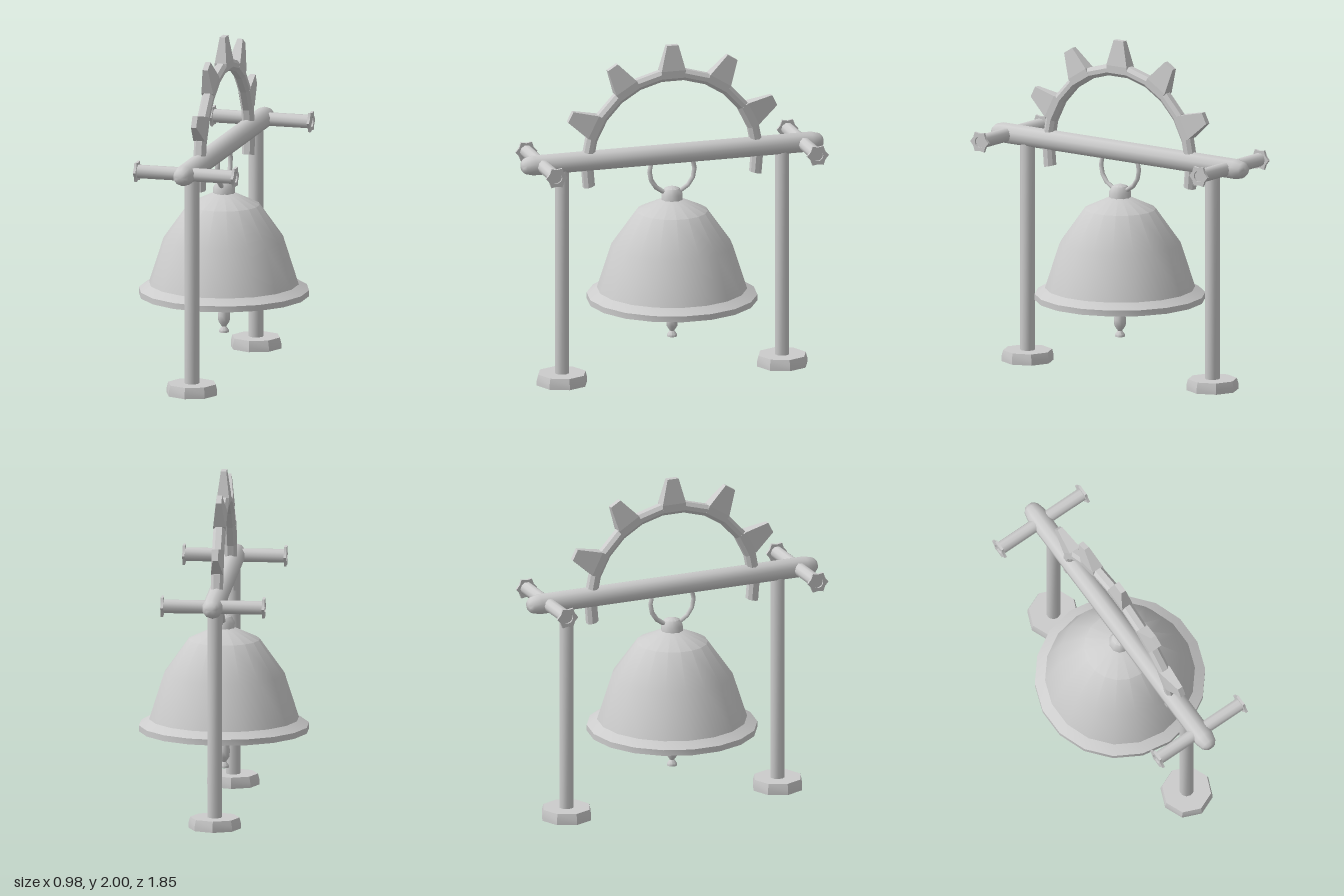
import * as THREE from 'three';
import { toCreasedNormals } from 'three/addons/utils/BufferGeometryUtils.js';

const grey = new THREE.MeshStandardMaterial({ color: 0xcccccc, side: THREE.DoubleSide });

// Adds a named mesh with smooth faces and sharp creases
function add(parent, name, geometry, crease = 0.8) {
  const mesh = new THREE.Mesh(toCreasedNormals(geometry, crease), grey);
  mesh.name = name;
  parent.add(mesh);
  return mesh;
}

// Turned part from [radius, height] pairs, listed bottom to top on the outside
const lathe = (profile, sides) =>
  new THREE.LatheGeometry(profile.map(([r, y]) => new THREE.Vector2(r, y)), sides);

// Skin over a row of equal-length cross-sections, capped at both ends
function loft(sections) {
  const n = sections[0].length;
  const last = sections.length - 1;
  const index = [];
  for (let i = 0; i < last; i++) {
    for (let j = 0; j < n; j++) {
      const k = (j + 1) % n;
      const a = i * n + j, b = i * n + k, c = b + n, d = a + n;
      index.push(a, b, c, a, c, d);
    }
  }
  for (let j = 1; j < n - 1; j++) {
    index.push(0, j + 1, j, last * n, last * n + j, last * n + j + 1);
  }
  const geometry = new THREE.BufferGeometry().setFromPoints(sections.flat());
  geometry.setIndex(index);
  return geometry;
}

// Scalloped collar with a round hole, extruded along +z
function collarGeometry() {
  const points = [];
  for (let i = 0; i < 12; i++) {
    const r = i % 2 ? 0.051 : 0.066;
    const a = (i * Math.PI) / 6;
    points.push(new THREE.Vector2(r * Math.cos(a), r * Math.sin(a)));
  }
  const shape = new THREE.Shape(points);
  shape.holes.push(new THREE.Path().absarc(0, 0, 0.032, 0, Math.PI * 2, true));
  return new THREE.ExtrudeGeometry(shape, { depth: 0.015, bevelEnabled: false, curveSegments: 6 });
}

function createFrame() {
  const frame = new THREE.Group();
  frame.name = 'frame';

  // Main beam with rounded tips
  const tip = [[0, 0.923], [0.03, 0.92], [0.048, 0.9], [0.061, 0.85]];
  const beamProfile = [...tip.map(([r, y]) => [r, -y]), ...tip.slice().reverse()];
  const beam = add(frame, 'beam', lathe(beamProfile, 10));
  beam.rotation.x = Math.PI / 2;
  beam.position.y = 1.34;

  for (const s of [1, -1]) {
    // Post
    const post = add(frame, 'post', new THREE.CylinderGeometry(0.043, 0.043, 1.3, 10));
    post.position.set(0, 0.68, s * 0.675);

    // Foot, hollow underneath
    const foot = add(frame, 'foot', lathe([
      [0, 0.04], [0.11, 0.04], [0.13, 0], [0.154, 0], [0.154, 0.03], [0.145, 0.065], [0, 0.065],
    ], 8), 0.4);
    foot.position.z = s * 0.675;

    // Cross arm with a collar on each end
    const arm = add(frame, 'crossArm', new THREE.CylinderGeometry(0.04, 0.04, 0.59, 10));
    arm.rotation.z = Math.PI / 2;
    arm.position.set(0, 1.34, s * 0.8);
    for (const side of [1, -1]) {
      const collar = add(frame, 'armCollar', collarGeometry(), 0.5);
      collar.rotation.y = (side * Math.PI) / 2;
      collar.position.set(side * 0.29, 1.34, s * 0.8);
    }
  }
  return frame;
}

function createArch() {
  const arch = new THREE.Group();
  arch.name = 'toothedArch';
  arch.position.y = 1.3;
  const step = THREE.MathUtils.degToRad(15.8);
  const polar = (x, r, t) => new THREE.Vector3(x, r * Math.cos(t), r * Math.sin(t));

  // Chamfered band; straight facets alternate between tooth and gap
  const outline = [
    [0.018, 0.49], [0.035, 0.51], [0.035, 0.535], [0.018, 0.556],
    [-0.018, 0.556], [-0.035, 0.535], [-0.035, 0.51], [-0.018, 0.49],
  ];
  const sections = [];
  for (let i = -6.5; i <= 6.5; i++) sections.push(outline.map(([x, r]) => polar(x, r, i * step)));
  add(arch, 'archBand', loft(sections), 0.1);

  // Five teeth narrowing both ways towards the tip
  const rect = (y, w, d) => [[w, d], [-w, d], [-w, -d], [w, -d]]
    .map(([z, x]) => new THREE.Vector3(x, y, z)).reverse();
  for (let i = -2; i <= 2; i++) {
    const tooth = add(arch, 'tooth', loft([
      rect(0.505, 0.07, 0.0355), rect(0.55, 0.074, 0.0355), rect(0.7, 0.035, 0.016),
    ]), 0.1);
    tooth.rotation.x = i * 2 * step;
  }
  return arch;
}

function createBell() {
  const bell = new THREE.Group();
  bell.name = 'bell';

  // Thin-walled body, inside first then outside
  add(bell, 'bellBody', lathe([
    [0, 1.04], [0.19, 0.97], [0.33, 0.775], [0.415, 0.525], [0.465, 0.455],
    [0.5, 0.455], [0.5, 0.49], [0.44, 0.525], [0.355, 0.79], [0.21, 0.995], [0.06, 1.065], [0, 1.07],
  ], 18), 0.55);

  // Crown knob
  add(bell, 'crown', lathe([[0.064, 1.05], [0.065, 1.095], [0.045, 1.13], [0, 1.145]], 10));

  // Hanging ring
  const ring = add(bell, 'hangingRing', new THREE.TorusGeometry(0.138, 0.014, 6, 16), 1.1);
  ring.rotation.y = Math.PI / 2;
  ring.position.y = 1.24;

  // Clapper
  add(bell, 'clapper', lathe([
    [0, 0.228], [0.03, 0.23], [0.03, 0.242], [0.013, 0.265], [0.033, 0.295], [0.036, 0.33],
    [0.028, 0.385], [0.014, 0.45], [0.009, 0.6], [0.009, 1.05],
  ], 10));
  return bell;
}

export function createModel() {
  const model = new THREE.Group();
  model.name = 'bellStand';
  model.add(createFrame(), createArch(), createBell());
  return model;
}
